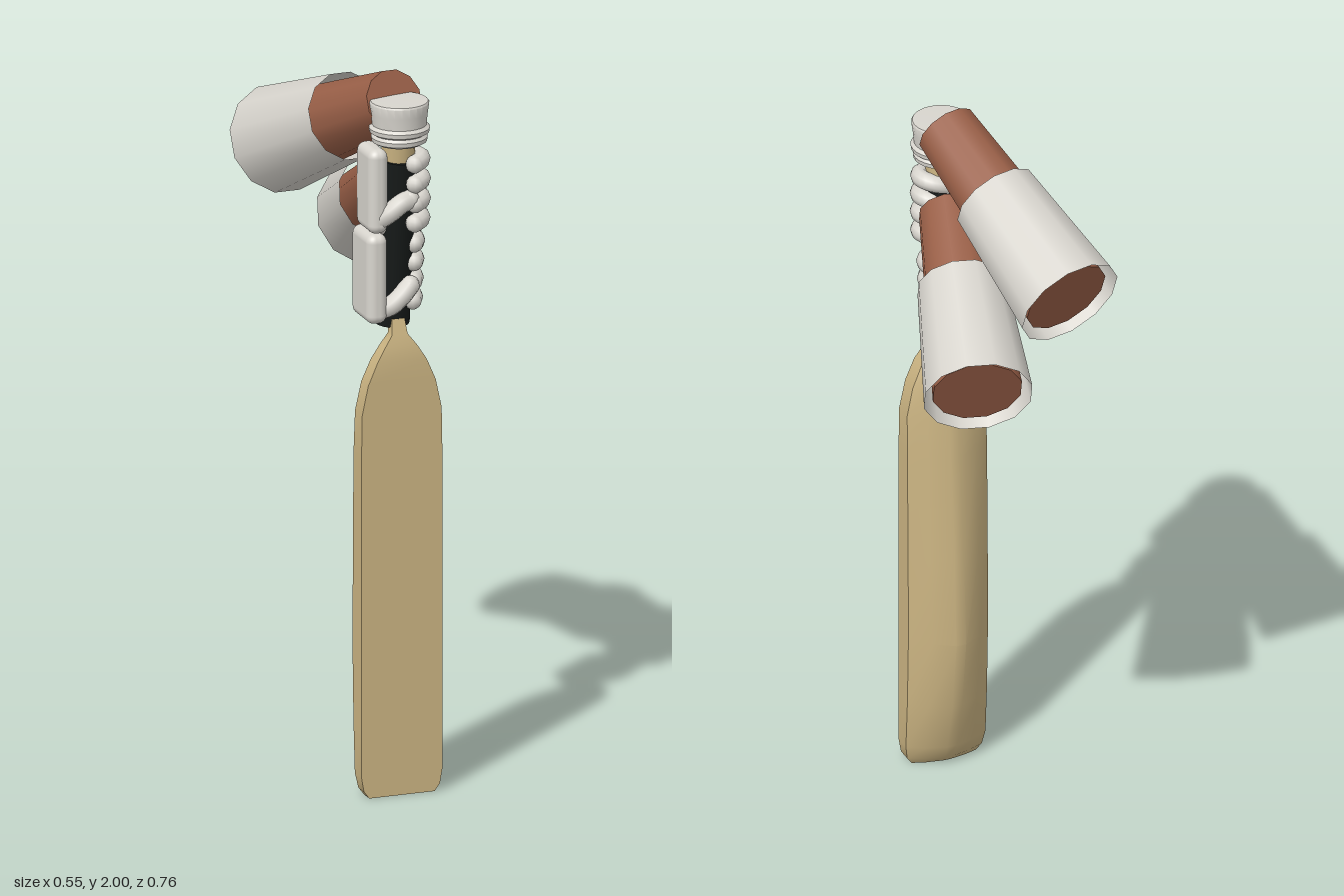
import * as THREE from 'three';
import { toCreasedNormals } from 'three/addons/utils/BufferGeometryUtils.js';
import { RoundedBoxGeometry } from 'three/addons/geometries/RoundedBoxGeometry.js';

const V = (x, y, z) => new THREE.Vector3(x, y, z);
const mat = (color, side = THREE.FrontSide) => new THREE.MeshStandardMaterial({ color, side });
const wood = mat(0xcbb482);
const gloveMat = mat(0xd8d5ce);
const cloth = mat(0xd8d5ce, THREE.DoubleSide);
const skin = mat(0x9a6048);
const rubber = mat(0x161a19);
const CX = -0.015; // centre line of the bat

function add(parent, name, geometry, material) {
  const mesh = new THREE.Mesh(geometry, material);
  mesh.name = name;
  parent.add(mesh);
  return mesh;
}

// Cylinder between two points, radius ra at a and rb at b
function rod(parent, name, a, b, ra, rb, material, sides = 12, open = false) {
  const d = b.clone().sub(a);
  const mesh = add(parent, name, new THREE.CylinderGeometry(rb, ra, d.length(), sides, 1, open), material);
  mesh.position.copy(a).addScaledVector(d, 0.5);
  mesh.quaternion.setFromUnitVectors(V(0, 1, 0), d.normalize());
  return mesh;
}

// Tube with rounded ends
function digit(parent, name, points, radius) {
  const finger = new THREE.Group();
  finger.name = name;
  parent.add(finger);
  const curve = new THREE.CatmullRomCurve3(points);
  add(finger, name + 'Roll', new THREE.TubeGeometry(curve, 20, radius, 10), gloveMat);
  for (const p of [points[0], points[points.length - 1]]) {
    add(finger, name + 'Tip', new THREE.SphereGeometry(radius, 10, 8), gloveMat).position.copy(p);
  }
}

// Blade: flat face in front, ridged back, lofted from cross-sections
function bladeGeometry() {
  // y, half width, front z, edge z, spine z
  const rows = [
    [0, 0.093, 0.322, 0.285, 0.265], [0.02, 0.108, 0.322, 0.28, 0.245],
    [0.06, 0.115, 0.322, 0.272, 0.228], [0.2, 0.115, 0.322, 0.262, 0.193],
    [0.4, 0.115, 0.322, 0.255, 0.165], [0.65, 0.115, 0.322, 0.257, 0.18],
    [0.95, 0.115, 0.322, 0.262, 0.205], [1.07, 0.113, 0.322, 0.268, 0.219],
    [1.15, 0.096, 0.322, 0.27, 0.231], [1.21, 0.07, 0.322, 0.273, 0.242],
    [1.25, 0.045, 0.316, 0.276, 0.254], [1.28, 0.022, 0.307, 0.276, 0.264],
    [1.32, 0.018, 0.295, 0.27, 0.26],
  ];
  const rings = rows.map(([y, w, f, e, s]) => {
    const m = s + (e - s) * 0.4;
    return [[-w, f], [w, f], [w, e], [w * 0.6, m], [w * 0.12, s], [-w * 0.12, s], [-w * 0.6, m], [-w, e]]
      .map(([x, z]) => V(CX + x, y, z));
  });
  const pts = [];
  const n = rings[0].length;
  for (let j = 0; j < rings.length - 1; j++) {
    for (let i = 0; i < n; i++) {
      const k = (i + 1) % n;
      const [a, b, c, d] = [rings[j][i], rings[j][k], rings[j + 1][k], rings[j + 1][i]];
      pts.push(a, b, c, a, c, d);
    }
  }
  const top = rings[rings.length - 1];
  for (let i = 1; i < n - 1; i++) {
    pts.push(rings[0][0], rings[0][i + 1], rings[0][i]);
    pts.push(top[0], top[i], top[i + 1]);
  }
  return toCreasedNormals(new THREE.BufferGeometry().setFromPoints(pts), 0.6);
}

// Forearm with a flared open sleeve over its far part
function addArm(parent, name, wrist, elbow) {
  const arm = new THREE.Group();
  arm.name = name;
  parent.add(arm);
  const at = (t) => wrist.clone().lerp(elbow, t);
  rod(arm, 'forearm', wrist, at(0.97), 0.085, 0.122, skin);
  rod(arm, 'sleeve', at(0.4), elbow, 0.12, 0.148, cloth, 12, true);
}

// Gloved hand: back pad, four wrapped fingers and a thumb
function addGlove(parent, name, o) {
  const glove = new THREE.Group();
  glove.name = name;
  parent.add(glove);
  const pad = add(glove, 'handPad', new RoundedBoxGeometry(...o.padSize, 4, 0.024), gloveMat);
  pad.position.set(...o.pad);
  o.fingers.forEach(([y, z, rz], i) => {
    const pts = [];
    for (let s = 0; s <= 8; s++) {
      const a = THREE.MathUtils.degToRad(165 + (o.endAngle - 165) * s / 8);
      pts.push(V(CX + 0.06 * Math.cos(a), y + 0.012 * Math.cos(a) - 0.008, z - rz * Math.sin(a)));
    }
    digit(glove, 'finger' + (i + 1), pts, 0.025);
  });
  digit(glove, 'thumb', o.thumb, 0.027);
}

export function createModel() {
  const model = new THREE.Group();
  model.name = 'batWithGlovedArms';

  // Bat
  const bat = new THREE.Group();
  bat.name = 'bat';
  model.add(bat);
  add(bat, 'blade', bladeGeometry(), wood);
  rod(bat, 'handleCore', V(CX, 1.32, 0.248), V(CX, 1.86, 0.302), 0.04, 0.045, wood, 16);
  rod(bat, 'grip', V(CX, 1.3, 0.245), V(CX, 1.77, 0.295), 0.048, 0.05, rubber, 16);

  // Rounded cuff closing the top of the handle
  const cuff = [[0, 1.815], [0.062, 1.815], [0.074, 1.822], [0.076, 1.834], [0.07, 1.842], [0.08, 1.848],
    [0.082, 1.86], [0.073, 1.868], [0.076, 1.9], [0.08, 1.928], [0.077, 1.933], [0, 1.935]];
  add(model, 'topCuff', toCreasedNormals(
    new THREE.LatheGeometry(cuff.map(([x, y]) => new THREE.Vector2(x, y)), 24), 0.7), gloveMat)
    .position.set(CX, 0, 0.303);

  // Hands
  addGlove(model, 'upperGlove', {
    padSize: [0.055, 0.235, 0.12], pad: [-0.088, 1.695, 0.292], endAngle: -62,
    fingers: [[1.765, 0.302, 0.046], [1.71, 0.305, 0.046], [1.655, 0.305, 0.046], [1.6, 0.302, 0.046]],
    thumb: [V(-0.085, 1.61, 0.325), V(-0.055, 1.635, 0.342), V(-0.025, 1.658, 0.346), V(0, 1.665, 0.342)],
  });
  addGlove(model, 'lowerGlove', {
    padSize: [0.058, 0.25, 0.14], pad: [-0.088, 1.448, 0.272], endAngle: -42,
    fingers: [[1.525, 0.26, 0.052], [1.472, 0.252, 0.06], [1.418, 0.246, 0.064], [1.363, 0.24, 0.066]],
    thumb: [V(-0.07, 1.352, 0.3), V(-0.045, 1.365, 0.315), V(-0.015, 1.39, 0.318), V(0.012, 1.415, 0.31)],
  });

  // Arms
  addArm(model, 'upperArm', V(CX, 1.92, 0.265), V(-0.13, 1.66, -0.3));
  addArm(model, 'lowerArm', V(-0.01, 1.69, 0.23), V(0.135, 1.43, -0.3));
  return model;
}
